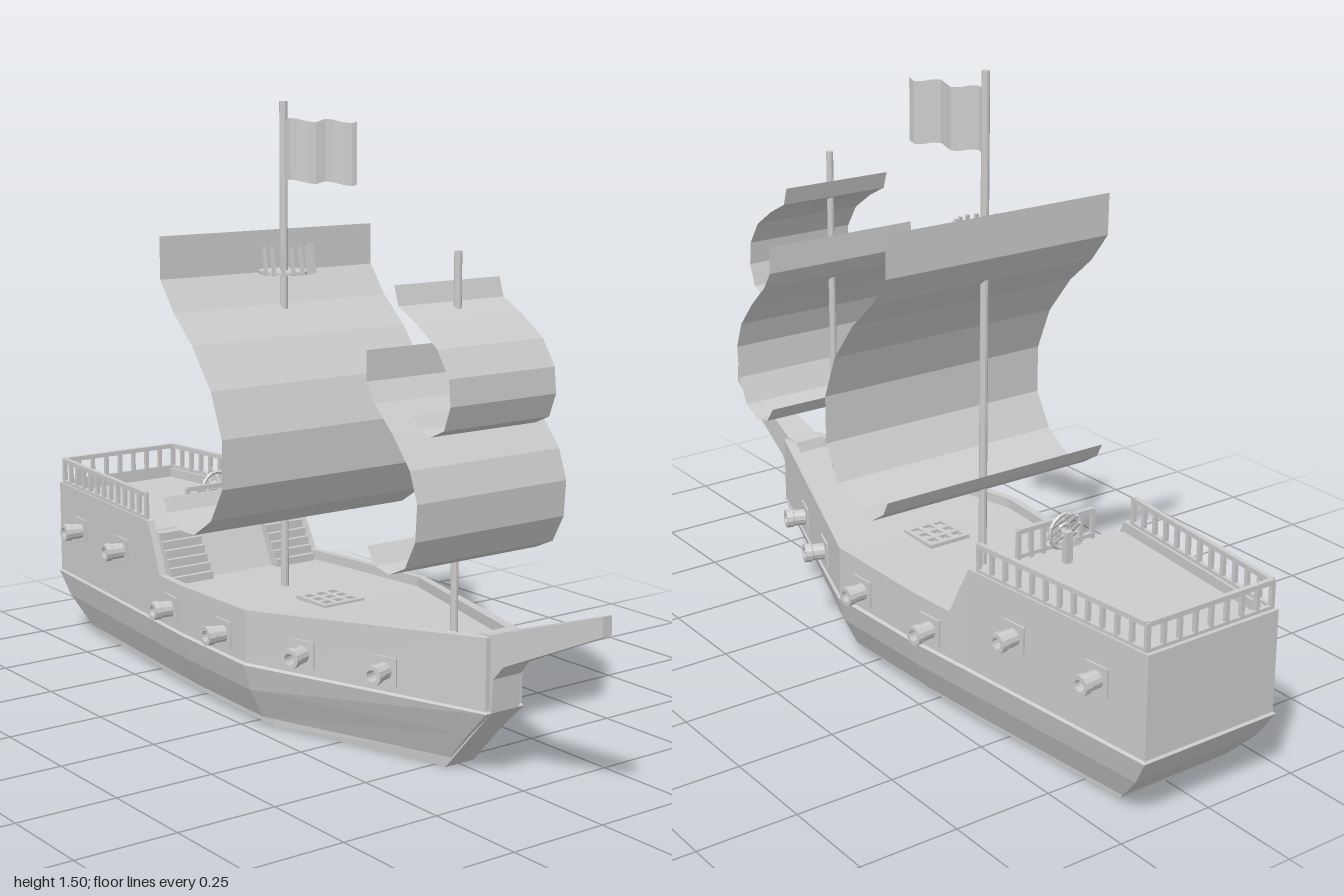
import * as THREE from 'three';

const mat = new THREE.MeshStandardMaterial({ color: 0xcccccc, flatShading: true, side: THREE.DoubleSide });

// Hull stations from stern to bow: x, half width, sheer height
const STATIONS = [
  [-1, 0.19, 0.425], [-0.435, 0.245, 0.425], [-0.37, 0.252, 0.295],
  [-0.24, 0.265, 0.297], [0.06, 0.278, 0.305], [0.68, 0.055, 0.345],
];

// Linear lookup of half width (k = 1) or sheer height (k = 2) at x
function at(x, k) {
  let i = 0;
  while (i < STATIONS.length - 2 && x > STATIONS[i + 1][0]) i++;
  const a = STATIONS[i], b = STATIONS[i + 1];
  return a[k] + (b[k] - a[k]) * (x - a[0]) / (b[0] - a[0]);
}

function add(parent, name, geo, x = 0, y = 0, z = 0) {
  const m = new THREE.Mesh(geo, mat);
  m.name = name;
  m.position.set(x, y, z);
  parent.add(m);
  return m;
}

function group(parent, name) {
  const g = new THREE.Group();
  g.name = name;
  parent.add(g);
  return g;
}

// Square bar between two points
function bar(parent, name, a, b, t) {
  const p = new THREE.Vector3(...a), q = new THREE.Vector3(...b);
  const m = add(parent, name, new THREE.BoxGeometry(t, t, p.distanceTo(q)));
  m.position.copy(p).add(q).multiplyScalar(0.5);
  m.lookAt(q);
  return m;
}

// One closed outline of the hull: y(station), width scale, inset, end positions
function ring(y, scale, inset, stern, bow) {
  const last = STATIONS.length - 1;
  const side = STATIONS.map(([x, w, s], i) => [
    i === 0 ? stern : i === last ? bow : x,
    typeof y === 'function' ? y(s) : y,
    w * scale - inset,
  ]);
  return [...side, ...side.map(([x, yy, z]) => [x, yy, -z]).reverse()];
}

function loftHull(rings) {
  const pos = [];
  const quad = (a, b, c, d) => pos.push(...a, ...b, ...c, ...a, ...c, ...d);
  const n = rings[0].length;
  for (let r = 0; r < rings.length - 1; r++) {
    for (let i = 0; i < n; i++) {
      const j = (i + 1) % n;
      quad(rings[r][i], rings[r][j], rings[r + 1][j], rings[r + 1][i]);
    }
  }
  const lo = rings[0], hi = rings[rings.length - 1];
  for (let i = 0; i < n / 2 - 1; i++) {
    quad(lo[n - 1 - i], lo[n - 2 - i], lo[i + 1], lo[i]);
    quad(hi[i], hi[i + 1], hi[n - 2 - i], hi[n - 1 - i]);
  }
  const g = new THREE.BufferGeometry();
  g.setAttribute('position', new THREE.Float32BufferAttribute(pos, 3));
  g.computeVertexNormals();
  return g;
}

// Sheet swept across z from a side-on curve
function sailGeometry(points, halfWidth) {
  const g = new THREE.PlaneGeometry(1, 1, points.length - 1, 1);
  const p = g.attributes.position, n = points.length;
  for (let i = 0; i < p.count; i++) {
    const [x, y] = points[i % n];
    p.setXYZ(i, x, y, i < n ? halfWidth : -halfWidth);
  }
  g.computeVertexNormals();
  return g;
}

export function createModel() {
  const ship = new THREE.Group();
  ship.name = 'sailingShip';

  // Hull with keel plate, planked sides, bulwark and deck
  add(ship, 'hull', loftHull([
    ring(0, 0.7, 0, -0.86, 0.52),
    ring(0.03, 0.7, 0, -0.87, 0.53),
    ring(0.03, 0.81, 0, -0.89, 0.55),
    ring(0.105, 0.945, 0, -0.96, 0.62),
    ring(0.17, 1.01, 0, -1, 0.685),
    ring(0.175, 0.985, 0, -0.995, 0.68),
    ring(s => s, 0.985, 0, -0.995, 0.68),
    ring(s => s, 0.985, 0.02, -0.975, 0.66),
    ring(s => s - 0.025, 0.985, 0.02, -0.975, 0.66),
  ]));

  // Stem running into a tapered bowsprit
  const stem = new THREE.Shape([
    [0.64, 0.345], [0.68, 0.35], [1, 0.46], [1, 0.415], [0.72, 0.285], [0.69, 0.25],
    [0.685, 0.17], [0.53, 0], [0.45, 0], [0.58, 0.17],
  ].map(p => new THREE.Vector2(...p)));
  const stemGeo = new THREE.ExtrudeGeometry(stem, { depth: 0.084, bevelEnabled: false });
  stemGeo.translate(0, 0, -0.042);
  const sp = stemGeo.attributes.position;
  for (let i = 0; i < sp.count; i++) {
    const t = Math.max(0, (sp.getX(i) - 0.68) / 0.32);
    sp.setZ(i, sp.getZ(i) * (1 - 0.68 * t));
  }
  stemGeo.computeVertexNormals();
  add(ship, 'bowsprit', stemGeo);

  // Stairs on both sides up to the aft deck
  for (const s of [1, -1]) {
    const stairs = group(ship, s > 0 ? 'stairsLeft' : 'stairsRight');
    for (let i = 0; i < 6; i++) {
      const top = 0.29 + i * 0.021;
      add(stairs, 'step', new THREE.BoxGeometry(0.025, top - 0.26, 0.12),
        -0.355 - i * 0.013, (top + 0.26) / 2, s * 0.162);
    }
  }

  // Railing around the aft deck
  const railing = group(ship, 'railing');
  function rail(a, b, count) {
    bar(railing, 'handrail', [a[0], 0.49, a[1]], [b[0], 0.49, b[1]], 0.012);
    bar(railing, 'footRail', [a[0], 0.428, a[1]], [b[0], 0.428, b[1]], 0.01);
    for (let i = 0; i <= count; i++) {
      const x = a[0] + (b[0] - a[0]) * i / count, z = a[1] + (b[1] - a[1]) * i / count;
      add(railing, 'baluster', new THREE.BoxGeometry(0.01, 0.075, 0.01), x, 0.455, z);
    }
  }
  for (const s of [1, -1]) {
    rail([-0.98, s * (at(-0.98, 1) - 0.013)], [-0.46, s * (at(-0.46, 1) - 0.013)], 12);
  }
  rail([-0.98, -0.178], [-0.98, 0.178], 8);
  rail([-0.45, -0.11], [-0.45, 0.11], 6);

  // Steering wheel with its stand
  const helm = group(ship, 'helm');
  helm.position.set(-0.48, 0.475, 0);
  for (const r of [0.042, 0.016]) {
    add(helm, 'wheelRim', new THREE.TorusGeometry(r, 0.005, 5, 16)).rotation.y = Math.PI / 2;
  }
  for (let i = 0; i < 8; i++) {
    const a = i * Math.PI / 4;
    bar(helm, 'spoke', [0, 0, 0], [0, 0.06 * Math.sin(a), 0.06 * Math.cos(a)], 0.006);
  }
  add(helm, 'stand', new THREE.BoxGeometry(0.016, 0.08, 0.02), -0.014, -0.037, 0);

  // Deck hatch grating
  const hatch = group(ship, 'hatch');
  hatch.position.set(0.03, 0.283, 0);
  for (let i = 0; i < 4; i++) {
    const d = -0.054 + i * 0.036;
    add(hatch, 'grateBar', new THREE.BoxGeometry(0.12, 0.01, 0.012), 0, 0, d);
    add(hatch, 'grateBar', new THREE.BoxGeometry(0.012, 0.01, 0.12), d, 0, 0);
  }

  // Cannons with port frames, square to the hull side
  const barrel = new THREE.LatheGeometry([
    [0, -0.02], [0.021, -0.02], [0.021, 0.035], [0.024, 0.037], [0.024, 0.055],
    [0.014, 0.055], [0.014, 0.02], [0, 0.02],
  ].map(p => new THREE.Vector2(...p)), 12).rotateX(Math.PI / 2);
  const frameShape = new THREE.Shape([[-1, -1], [1, -1], [1, 1], [-1, 1]]
    .map(([x, y]) => new THREE.Vector2(x * 0.034, y * 0.034)));
  frameShape.holes.push(new THREE.Path().absarc(0, 0, 0.022, 0, Math.PI * 2, true));
  const frame = new THREE.ExtrudeGeometry(frameShape, { depth: 0.008, bevelEnabled: false, curveSegments: 6 });
  const ports = [[-0.85, 0.315], [-0.59, 0.315], [-0.305, 0.225], [-0.04, 0.225], [0.215, 0.225], [0.43, 0.225]];
  for (const [x, y] of ports) {
    const turn = Math.atan((at(x - 0.01, 1) - at(x + 0.01, 1)) / 0.02);
    for (const s of [1, -1]) {
      const cannon = group(ship, s > 0 ? 'cannonLeft' : 'cannonRight');
      cannon.position.set(x, y, s * at(x, 1) * 0.985);
      cannon.rotation.y = s > 0 ? turn : Math.PI - turn;
      add(cannon, 'barrel', barrel);
      add(cannon, 'portFrame', frame, 0, 0, -0.003);
    }
  }

  // Masts
  add(ship, 'mainMast', new THREE.CylinderGeometry(0.01, 0.01, 1.23, 10), -0.165, 0.885, 0);
  add(ship, 'foreMast', new THREE.CylinderGeometry(0.009, 0.009, 0.88, 10), 0.505, 0.745, 0);

  // Billowing sails
  add(ship, 'mainSail', sailGeometry([
    [-0.23, 1.18], [-0.228, 1.075], [-0.17, 1.0], [-0.09, 0.93], [-0.01, 0.83], [0.035, 0.72],
    [0.035, 0.6], [-0.015, 0.515], [-0.09, 0.467], [-0.16, 0.467], [-0.21, 0.5], [-0.228, 0.535],
  ], 0.322));
  add(ship, 'lowerForeSail', sailGeometry([
    [0.455, 0.975], [0.455, 0.905], [0.485, 0.86], [0.55, 0.8], [0.61, 0.73], [0.636, 0.66],
    [0.63, 0.575], [0.595, 0.51], [0.54, 0.485], [0.49, 0.495], [0.46, 0.535],
  ], 0.218));
  add(ship, 'upperForeSail', sailGeometry([
    [0.47, 1.115], [0.485, 1.07], [0.55, 1.037], [0.62, 0.99], [0.66, 0.93], [0.666, 0.87],
    [0.645, 0.815], [0.6, 0.795], [0.56, 0.805], [0.535, 0.835],
  ], 0.153));

  // Lookout platform with a fan of leaning posts on its forward half
  const lookout = group(ship, 'lookout');
  lookout.position.set(-0.163, 1.08, 0);
  add(lookout, 'platform', new THREE.CylinderGeometry(0.065, 0.065, 0.008, 20));
  for (let i = 0; i < 9; i++) {
    const a = (i / 8 - 0.5) * 2.7, c = Math.cos(a), s = Math.sin(a);
    bar(lookout, 'post', [0.058 * c, 0, 0.058 * s], [0.085 * c, 0.065, 0.085 * s], 0.008);
  }

  // Waving flag, drifting to one side
  const flag = new THREE.PlaneGeometry(0.215, 0.15, 10, 1);
  const fp = flag.attributes.position;
  for (let i = 0; i < fp.count; i++) {
    const t = fp.getX(i) / 0.215 + 0.5, wave = Math.sin(t * Math.PI * 4);
    fp.setY(i, fp.getY(i) + 0.005 * wave);
    fp.setZ(i, -0.058 * t + 0.008 * wave);
  }
  flag.computeVertexNormals();
  add(ship, 'flag', flag, -0.05, 1.38, 0);

  return ship;
}
